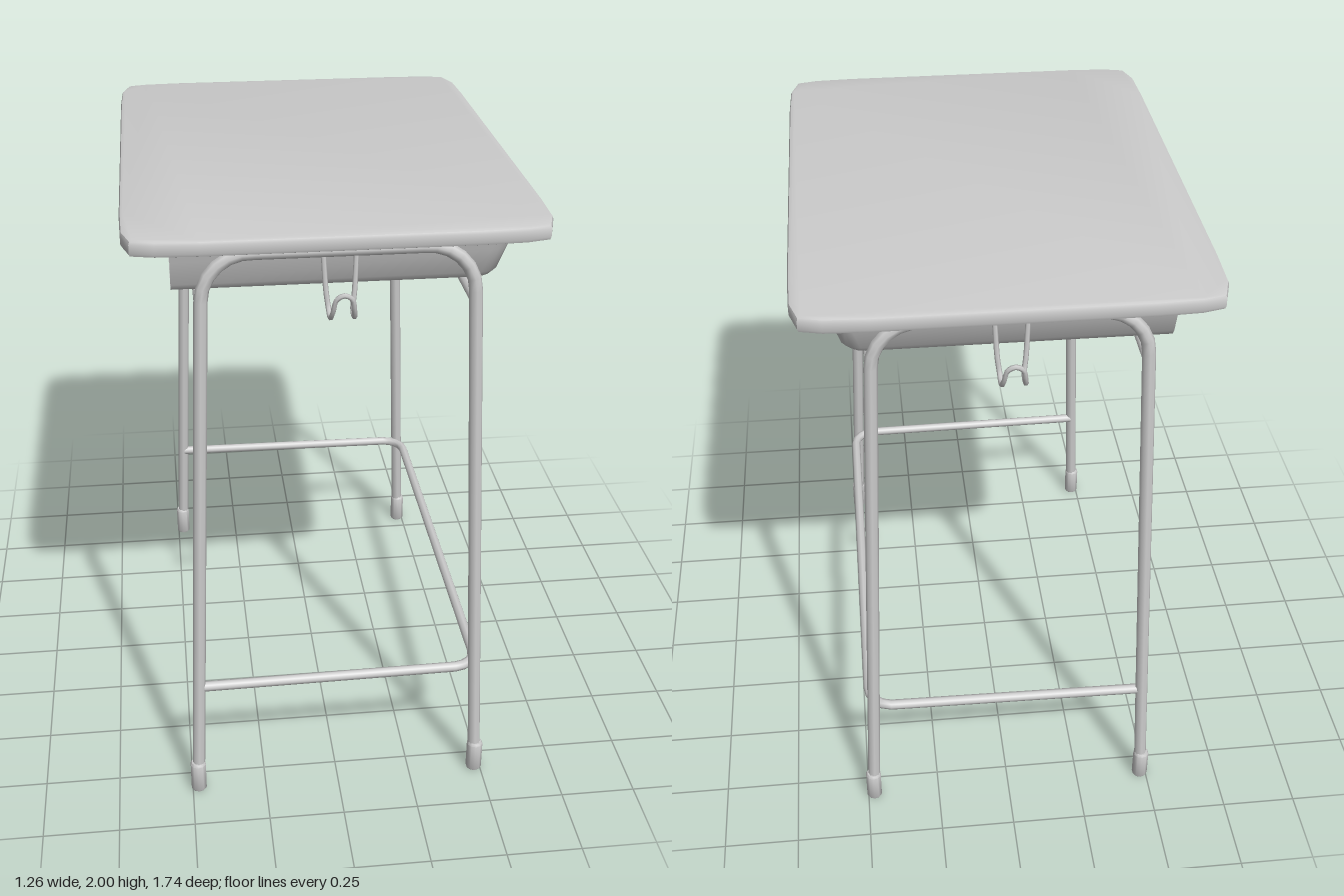
import * as THREE from 'three';
import { toCreasedNormals } from 'three/addons/utils/BufferGeometryUtils.js';

const V = (x, y, z) => new THREE.Vector3(x, y, z);
const material = new THREE.MeshStandardMaterial({ color: 0xcccccc });
const thinMaterial = new THREE.MeshStandardMaterial({ color: 0xcccccc, side: THREE.DoubleSide });

function addMesh(parent, name, geometry, mat = material) {
  const mesh = new THREE.Mesh(geometry, mat);
  mesh.name = name;
  parent.add(mesh);
  return mesh;
}

// Polyline whose inner corners are rounded off at the given distance
function bentPath(points, bend) {
  const path = new THREE.CurvePath();
  let from = points[0];
  for (let i = 1; i < points.length - 1; i++) {
    const p = points[i];
    const a = p.clone().add(points[i - 1].clone().sub(p).setLength(bend));
    const b = p.clone().add(points[i + 1].clone().sub(p).setLength(bend));
    const k = 0.55;
    path.add(new THREE.LineCurve3(from, a));
    path.add(new THREE.CubicBezierCurve3(a, a.clone().lerp(p, k), b.clone().lerp(p, k), b));
    from = b;
  }
  path.add(new THREE.LineCurve3(from, points[points.length - 1]));
  return path;
}

// Table top: softly cornered slab with a bevelled rim
function tableTopGeometry() {
  const bevel = 0.012;
  const corner = [[0.632, 0.6], [0.628, 0.75], [0.606, 0.822], [0.545, 0.837], [0.42, 0.843]];
  const back = corner.slice().reverse();
  const outline = [
    ...corner,
    ...back.map(([x, z]) => [-x, z]),
    ...corner.map(([x, z]) => [-x, -z]),
    ...back.map(([x, z]) => [x, -z]),
  ].map(([x, z]) => new THREE.Vector2(x - Math.sign(x) * bevel, z - Math.sign(z) * bevel));
  const geometry = new THREE.ExtrudeGeometry(new THREE.Shape(outline), {
    depth: 0.05 - 2 * bevel, bevelThickness: bevel, bevelSize: bevel, bevelSegments: 2,
  });
  geometry.rotateX(-Math.PI / 2);
  geometry.translate(0, 1.95 + bevel, 0);
  return toCreasedNormals(geometry, 0.6);
}

// Tray: U-shaped cross-sections from rim to floor, open towards -x
function trayGeometry() {
  const openX = -0.492;
  const levels = [ // end x, half depth z, height y
    [0.555, 0.76, 1.947], [0.53, 0.737, 1.945], [0.515, 0.722, 1.89],
    [0.493, 0.695, 1.81], [0.478, 0.68, 1.79], [0.445, 0.655, 1.78],
  ];
  const cornerSteps = 4, r = 0.06;
  const positions = [], index = [];
  const section = ([ex, ez, y], flatten) => {
    const half = [[openX, ez]];
    for (let i = 0; i <= cornerSteps; i++) {
      const a = (i / cornerSteps) * Math.PI / 2;
      half.push([ex - r + r * Math.sin(a), ez - r + r * Math.cos(a)]);
    }
    const loop = [...half, ...half.slice().reverse().map(([x, z]) => [x, -z])];
    loop.forEach(([x, z]) => positions.push(x, y, flatten ? 0 : z));
    return loop.length;
  };
  let n = 0;
  levels.forEach((level) => { n = section(level, false); });
  section(levels[levels.length - 1], true); // floor closes on its middle line
  for (let i = 0; i < levels.length; i++) {
    for (let j = 0; j < n - 1; j++) {
      const a = i * n + j, b = a + n;
      index.push(a, b, a + 1, a + 1, b, b + 1);
    }
  }
  const geometry = new THREE.BufferGeometry();
  geometry.setAttribute('position', new THREE.Float32BufferAttribute(positions, 3));
  geometry.setIndex(index);
  return toCreasedNormals(geometry, 0.6);
}

export function createModel() {
  const desk = new THREE.Group();
  desk.name = 'schoolDesk';

  addMesh(desk, 'tableTop', tableTopGeometry());
  addMesh(desk, 'tray', trayGeometry(), thinMaterial);

  for (const s of [1, -1]) {
    const side = s > 0 ? 'front' : 'back';

    // Bent tube forming two splayed legs and the bar under the top
    const legs = bentPath([
      V(-0.479, 0.03, 0.824 * s), V(-0.402, 1.92, 0.745 * s),
      V(0.402, 1.92, 0.745 * s), V(0.479, 0.03, 0.824 * s),
    ], 0.14);
    addMesh(desk, side + 'LegFrame', new THREE.TubeGeometry(legs, 110, 0.021, 8), thinMaterial);

    // Rubber feet
    for (const x of [-0.479, 0.479]) {
      const profile = [[0, 0], [0.024, 0], [0.027, 0.006], [0.027, 0.105], [0.022, 0.113], [0, 0.113]];
      const foot = new THREE.LatheGeometry(profile.map(([r, y]) => new THREE.Vector2(r, y)), 10);
      addMesh(desk, side + 'Foot', toCreasedNormals(foot, 0.8)).position.set(x, 0, 0.823 * s);
    }

    // Wire bag hook hanging from the bar
    const half = [
      [0.048, 1.905, 0.752], [0.042, 1.8, 0.766], [0.036, 1.752, 0.778], [0.035, 1.738, 0.8],
      [0.035, 1.742, 0.825], [0.031, 1.77, 0.847], [0.022, 1.812, 0.859],
    ];
    const hookPoints = [
      ...half.map(([x, y, z]) => V(x, y, z * s)),
      V(0, 1.825, 0.862 * s),
      ...half.slice().reverse().map(([x, y, z]) => V(-x, y, z * s)),
    ];
    const hook = new THREE.TubeGeometry(new THREE.CatmullRomCurve3(hookPoints), 56, 0.008, 6);
    addMesh(desk, side + 'BagHook', hook, thinMaterial);

    // Long rod carrying the tray
    const rod = new THREE.CylinderGeometry(0.016, 0.016, 1.5, 8);
    rod.rotateX(Math.PI / 2);
    addMesh(desk, s > 0 ? 'leftTrayRod' : 'rightTrayRod', rod).position.set(0.41 * s, 1.74, 0);
  }

  // U-shaped foot rail linking the four legs
  const rail = bentPath([
    V(-0.46, 0.415, 0.803), V(0.477, 0.415, 0.79),
    V(0.477, 0.415, -0.79), V(-0.46, 0.415, -0.803),
  ], 0.08);
  addMesh(desk, 'footRail', new THREE.TubeGeometry(rail, 110, 0.017, 8), thinMaterial);

  return desk;
}
